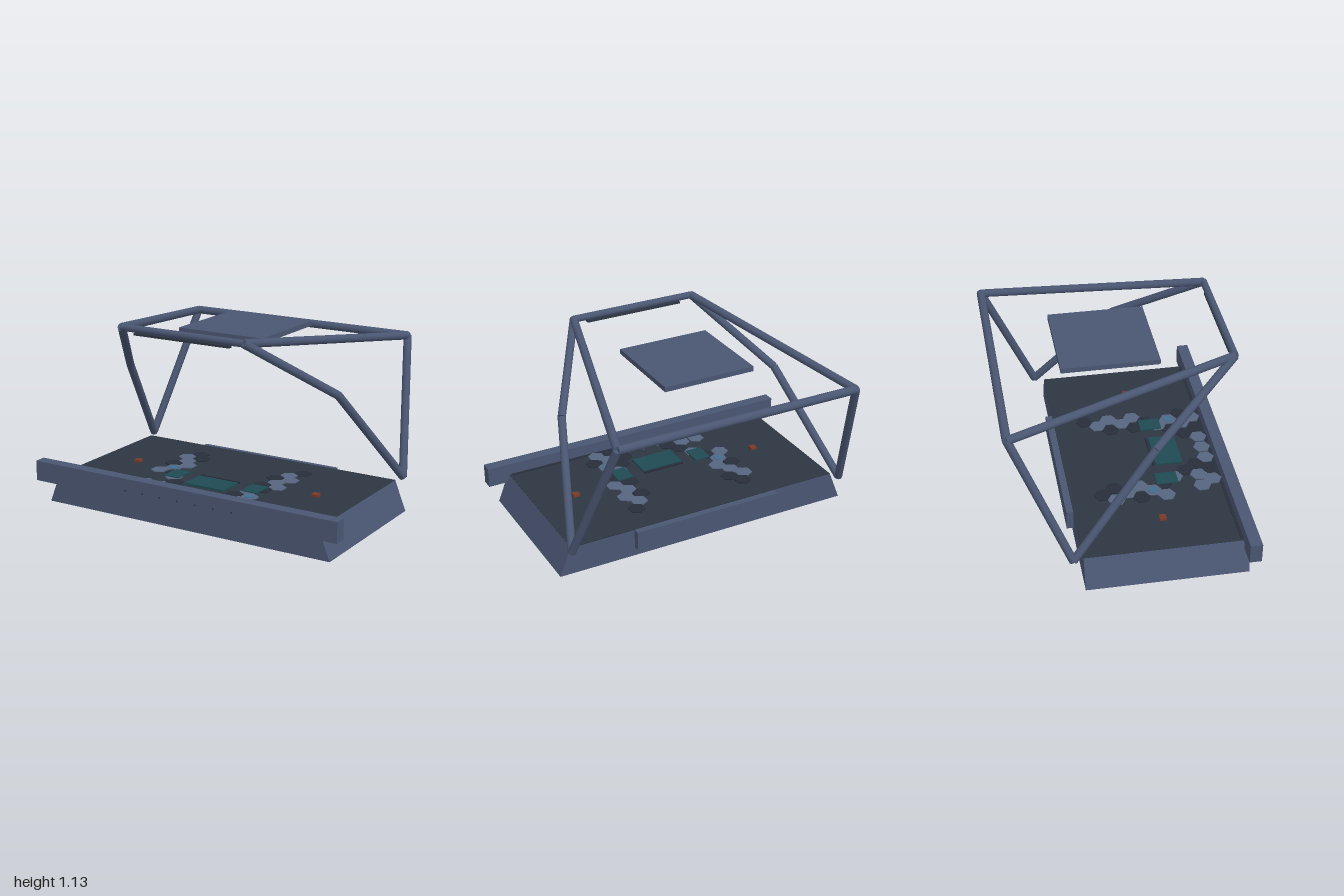
import * as THREE from 'three';

const mat = (color) => new THREE.MeshStandardMaterial({ color });
const steel = mat(0x4a5672);
const dark = mat(0x2d3642);
const hexLight = mat(0x56647f);
const hexDark = mat(0x272e3b);
const teal = mat(0x1f4a52);
const orange = mat(0x7a3a2a);
const blue = mat(0x3f6f8f);

export function createModel() {
  const root = new THREE.Group();
  const deckY = 0.176;

  const add = (name, geometry, material, x = 0, y = 0, z = 0) => {
    const mesh = new THREE.Mesh(geometry, material);
    mesh.name = name;
    mesh.position.set(x, y, z);
    root.add(mesh);
    return mesh;
  };
  // Box given by its limits on each axis
  const box = (name, material, x0, x1, y0, y1, z0, z1) =>
    add(name, new THREE.BoxGeometry(x1 - x0, y1 - y0, z1 - z0), material,
      (x0 + x1) / 2, (y0 + y1) / 2, (z0 + z1) / 2);

  // Sloped-sided base with a dark deck on top
  const section = new THREE.Shape([
    new THREE.Vector2(-0.935, 0), new THREE.Vector2(0.935, 0),
    new THREE.Vector2(0.865, deckY), new THREE.Vector2(-0.865, deckY),
  ]);
  add('base', new THREE.ExtrudeGeometry(section, { depth: 0.935, bevelEnabled: false }), steel, 0, 0, -0.29);
  box('deck', dark, -0.865, 0.865, deckY - 0.004, deckY + 0.002, -0.29, 0.645);
  box('underside', dark, -0.93, 0.93, -0.001, 0.002, -0.288, 0.643);
  box('deckSeam', hexDark, -0.85, 0.85, deckY, deckY + 0.006, 0.603, 0.625);

  // Front bumper bar with small indicator dots, and rear block
  box('frontBar', steel, -1, 1, 0.13, 0.25, 0.62, 0.69);
  for (let i = -3; i <= 3; i++) {
    box('indicator', hexDark, i * 0.118 - 0.004, i * 0.118 + 0.004, 0.176, 0.184, 0.685, 0.693);
  }
  box('rearBlock', steel, -0.467, 0.467, 0.055, 0.174, -0.33, -0.28);

  // Tube frame
  const tube = (name, a, b, r) => {
    const dir = new THREE.Vector3().subVectors(b, a);
    const mesh = add(name, new THREE.CylinderGeometry(r, r, dir.length(), 12), steel);
    mesh.position.addVectors(a, b).multiplyScalar(0.5);
    mesh.quaternion.setFromUnitVectors(new THREE.Vector3(0, 1, 0), dir.normalize());
  };
  const node = (side, x, y, z) => new THREE.Vector3(side * x, y, z);
  const corners = (s) => ({
    top: node(s, 0.395, 1.11, 0.63),
    rear: node(s, 0.74, 0.95, -0.67),
    foot: node(s, 0.885, 0.185, -0.35),
    elbow: node(s, 0.705, 0.76, 0.138),
  });
  const left = corners(1);
  const right = corners(-1);
  for (const c of [left, right]) {
    tube('roofRail', c.top, c.rear, 0.024);
    tube('rearPillar', c.rear, c.foot, 0.024);
    tube('upperFrontPillar', c.top, c.elbow, 0.024);
    tube('lowerFrontPillar', c.elbow, c.foot, 0.024);
  }
  tube('frontCrossTube', right.top, left.top, 0.021);
  tube('rearCrossTube', right.rear, left.rear, 0.025);
  box('frontLightStrip', dark, -0.31, 0.31, 1.075, 1.088, 0.615, 0.64);

  // Floating roof panel
  box('roofPanel', steel, -0.28, 0.28, 1.02, 1.05, -0.32, 0.24);

  // Screens and buttons
  box('mainScreen', teal, -0.132, 0.132, deckY, deckY + 0.013, 0.26, 0.42);
  box('screenHood', hexDark, -0.132, 0.132, deckY, deckY + 0.014, 0.24, 0.252);
  for (const s of [-1, 1]) {
    box('sideScreen', teal, s * 0.265 - 0.05, s * 0.265 + 0.05, deckY, deckY + 0.012, 0.23, 0.36);
    box('button', orange, s * 0.61 - 0.02, s * 0.61 + 0.02, deckY, deckY + 0.017, 0.185, 0.225);
  }

  // Hexagonal tiles in a U: each row lists signed columns for light and dark tiles
  const tileGeometry = new THREE.CylinderGeometry(0.053, 0.053, 0.008, 6);
  const rows = [
    { light: [], dark: [-3.5, 3.5] },
    { light: [-4, 3], dark: [-3] },
    { light: [-3.5, 3.5], dark: [2.5] },
    { light: [-3, 3], dark: [-4] },
    { light: [-3.5, 3.5], dark: [2.5] },
    { light: [-4], dark: [-3, 3] },
    { light: [-2.5, 2.5], dark: [] },
    { light: [3], dark: [-2, 2] },
    { light: [-3.5, -2.5, 2.5], dark: [-1.5, 1.5, 3.5] },
    { light: [-3, -1, 0, 1, 3], dark: [-2, 2] },
  ];
  rows.forEach((row, i) => {
    const z = -0.1 + i * 0.0742;
    for (const c of row.light) add('lightTile', tileGeometry, hexLight, c * 0.102, deckY + 0.003, z);
    for (const c of row.dark) add('darkTile', tileGeometry, hexDark, c * 0.102, deckY + 0.003, z);
  });
  // Small blue hexagons set on two tiles
  const inset = new THREE.CylinderGeometry(0.028, 0.028, 0.004, 6);
  add('blueInset', inset, blue, -0.357, deckY + 0.008, 0.197);
  add('blueInset', inset, blue, 0.306, deckY + 0.008, 0.419);

  return root;
}
